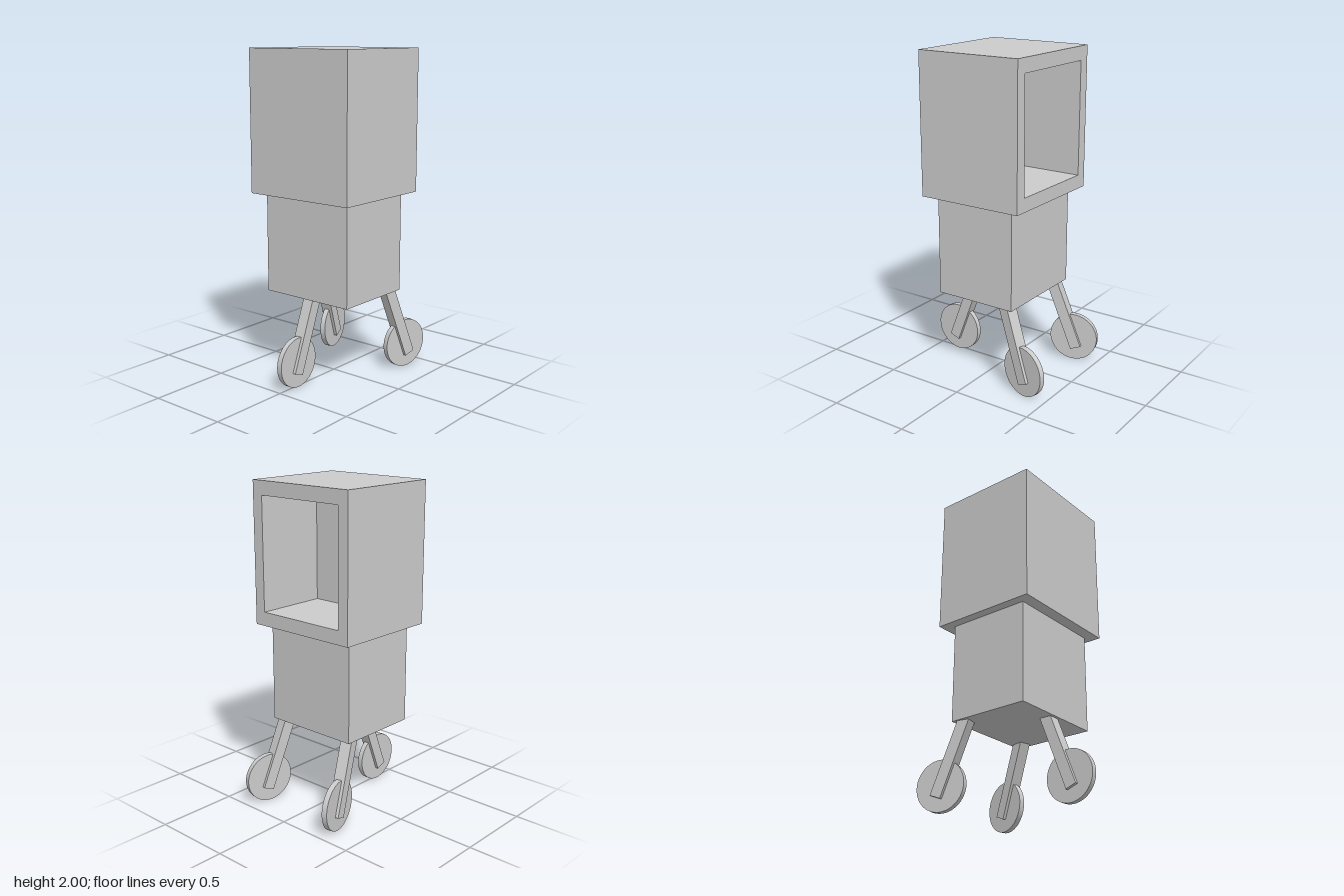
import * as THREE from 'three';

const mat = new THREE.MeshStandardMaterial({ color: 0xcccccc });

function add(parent, name, geometry, x, y, z) {
  const mesh = new THREE.Mesh(geometry, mat);
  mesh.name = name;
  mesh.position.set(x, y, z);
  parent.add(mesh);
  return mesh;
}

function rect(path, w, h) {
  path.moveTo(-w / 2, -h / 2);
  path.lineTo(w / 2, -h / 2);
  path.lineTo(w / 2, h / 2);
  path.lineTo(-w / 2, h / 2);
  path.closePath();
  return path;
}

// Leg with a wheel set into it; local +x points outwards, origin at the wheel centre
function makeLeg(name, x, z, yaw) {
  const leg = new THREE.Group();
  leg.name = name;
  leg.position.set(x, 0.157, z);
  leg.rotation.y = yaw;

  const wheel = add(leg, 'wheel', new THREE.CylinderGeometry(0.153, 0.153, 0.033, 48), 0, 0, 0);
  wheel.rotation.x = Math.PI / 2;

  // Strut from the body's underside down past the hub
  const top = new THREE.Vector2(-0.155, 0.39);
  const end = new THREE.Vector2(0.02, -0.067);
  const mid = top.clone().add(end).multiplyScalar(0.5);
  const strut = add(leg, 'strut', new THREE.BoxGeometry(0.07, top.distanceTo(end), 0.072), mid.x, mid.y, 0);
  strut.rotation.z = Math.atan2(end.x - top.x, top.y - end.y);
  return leg;
}

export function createModel() {
  const model = new THREE.Group();
  model.name = 'wheeledCabinet';

  // Lower body
  add(model, 'body', new THREE.BoxGeometry(0.524, 0.614, 0.62), 0.002, 0.831, 0);

  // Upper box: solid back part and a hollow frame open towards +x
  const head = new THREE.Group();
  head.name = 'head';
  head.position.y = 1.569;
  model.add(head);
  const backX = -0.333, hollowX = -0.115, frontX = 0.34;
  add(head, 'headBack', new THREE.BoxGeometry(hollowX - backX, 0.862, 0.735), (backX + hollowX) / 2, 0, 0);
  const frame = rect(new THREE.Shape(), 0.735, 0.862);
  const opening = new THREE.Path();
  rect(opening, 0.592, 0.692);
  frame.holes.push(opening);
  const frameGeo = new THREE.ExtrudeGeometry(frame, { depth: frontX - hollowX, bevelEnabled: false });
  frameGeo.rotateY(Math.PI / 2);
  add(head, 'headFrame', frameGeo, hollowX, 0, 0);

  // Three splayed legs
  const yaw = THREE.MathUtils.degToRad(13.2);
  model.add(makeLeg('rightLeg', -0.35, 0, Math.PI));
  for (const s of [1, -1]) {
    model.add(makeLeg(s > 0 ? 'frontLeftLeg' : 'backLeftLeg', 0.344, s * 0.292, -s * yaw));
  }
  return model;
}
